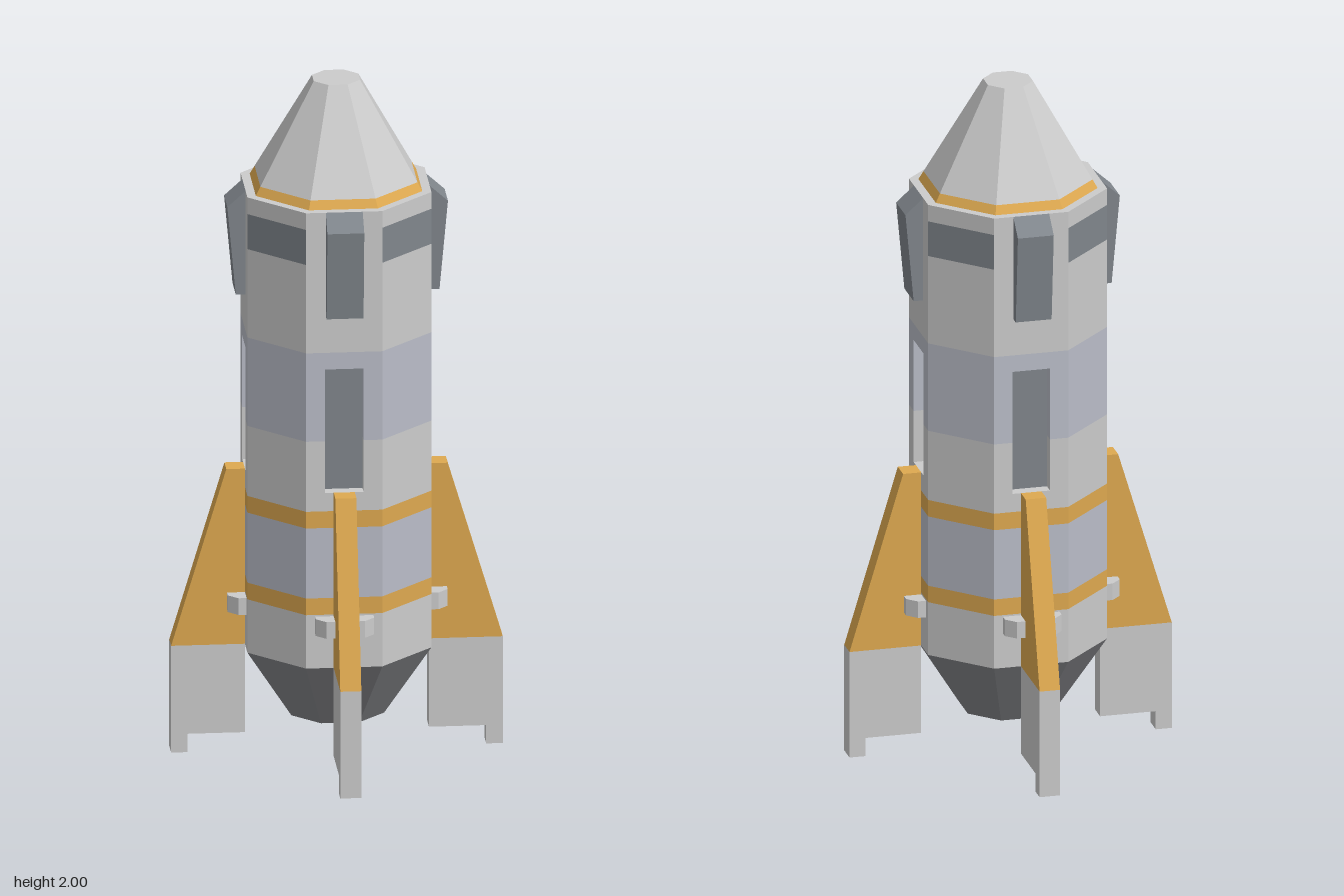
import * as THREE from 'three';

const R = 0.262;                       // body apothem (centre to flat)
const CORNER = 1 / Math.cos(Math.PI / 8);
const HALF = R * Math.tan(Math.PI / 8); // half of one body side

const mat = (color) => new THREE.MeshStandardMaterial({ color, flatShading: true });
const grey = mat(0xcccccc);
const blueGrey = mat(0xbabdc8);
const dark = mat(0x80868c);
const nozzleGrey = mat(0x85868a);
const gold = mat(0xdea950);

export function createModel() {
  const model = new THREE.Group();

  const add = (name, geometry, material, parent = model) => {
    const mesh = new THREE.Mesh(geometry, material);
    mesh.name = name;
    parent.add(mesh);
    return mesh;
  };

  // Eight-sided section between two heights, given by apothems
  const section = (name, y0, y1, a0, a1, material, open = false) => {
    const g = new THREE.CylinderGeometry(a1 * CORNER, a0 * CORNER, y1 - y0, 8, 1, open, Math.PI / 8);
    add(name, g.translate(0, (y0 + y1) / 2, 0), material);
  };

  const polygon = (points) => new THREE.Shape(points.map(([x, y]) => new THREE.Vector2(x, y)));

  // Radius/height profile given a thickness centred on z = 0
  const slab = (points, thickness) =>
    new THREE.ExtrudeGeometry(polygon(points), { depth: thickness, bevelEnabled: false })
      .translate(0, 0, -thickness / 2);

  // Plan outline raised from y0 to y1
  const prism = (points, y0, y1) =>
    new THREE.ExtrudeGeometry(polygon(points), { depth: y1 - y0, bevelEnabled: false })
      .rotateX(-Math.PI / 2).translate(0, y0, 0);

  // Tapered nozzle and plain hull bands
  section('nozzle', 0.11, 0.32, 0.132, R, nozzleGrey);
  section('lowerHull', 0.32, 0.48, R, R, grey, true);
  section('lowerStripe', 0.48, 0.53, R, R, gold, true);
  section('middleHull', 0.53, 0.74, R, R, blueGrey, true);
  section('upperStripe', 0.74, 0.79, R, R, gold, true);
  section('hullBelowPanels', 0.79, 0.845, R, R, grey);
  section('hullAbovePanels', 1.215, 1.265, R, R, blueGrey);
  section('upperHull', 1.265, 1.53, R, R, grey, true);
  section('hullTop', 1.635, 1.685, R, R, grey);

  // Hull with a recess in each of the four main sides
  const W = 0.055, DEPTH = 0.036;
  const outline = [];
  for (let k = 0; k < 4; k++) {
    const c = Math.round(Math.cos(k * Math.PI / 2)), s = Math.round(Math.sin(k * Math.PI / 2));
    for (const [x, y] of [[R, -HALF], [R, -W], [R - DEPTH, -W], [R - DEPTH, W], [R, W], [R, HALF]])
      outline.push([x * c - y * s, x * s + y * c]);
  }
  add('recessedHullLower', prism(outline, 0.845, 1.0), grey);
  add('recessedHullUpper', prism(outline, 1.0, 1.215), blueGrey);

  // Collar with dark diagonal sides
  for (let k = 0; k < 8; k++) {
    const side = new THREE.CylinderGeometry(R * CORNER, R * CORNER, 0.105, 1, 1, true,
      k * Math.PI / 4 - Math.PI / 8, Math.PI / 4);
    add('collarSide', side.translate(0, 1.5825, 0), k % 2 ? dark : grey);
  }

  // Nose cone with gold rim
  section('noseRim', 1.685, 1.71, 0.237, 0.2235, gold, true);
  section('noseCone', 1.71, 2.0, 0.2235, 0.066, grey);

  // Fin, recess panel, clamp and bracket on each main side
  const finTop = slab([[R, 0.32], [0.472, 0.32], [0.315, 0.845], [R, 0.845]], 0.06);
  const finFoot = slab([[R, 0.055], [0.425, 0.055], [0.425, 0], [0.472, 0], [0.472, 0.32], [R, 0.32]], 0.06);
  const brace = slab([[R, 1.375], [0.29, 1.375], [0.314, 1.638], [R, 1.685]], 0.105);
  const clamp = prism([[R, -0.083], [0.285, -0.083], [0.313, -0.055],
    [0.313, 0.055], [0.285, 0.083], [R, 0.083]], 0.425, 0.475);
  const panel = new THREE.PlaneGeometry(2 * W, 0.37).rotateY(Math.PI / 2)
    .translate(R - DEPTH + 0.001, 1.03, 0);
  for (let k = 0; k < 4; k++) {
    const side = new THREE.Group();
    side.name = 'sideAssembly';
    side.rotation.y = k * Math.PI / 2;
    add('fin', finTop, gold, side);
    add('landingFoot', finFoot, grey, side);
    add('noseBracket', brace, dark, side);
    add('finClamp', clamp, grey, side);
    add('recessPanel', panel, dark, side);
    model.add(side);
  }
  return model;
}
